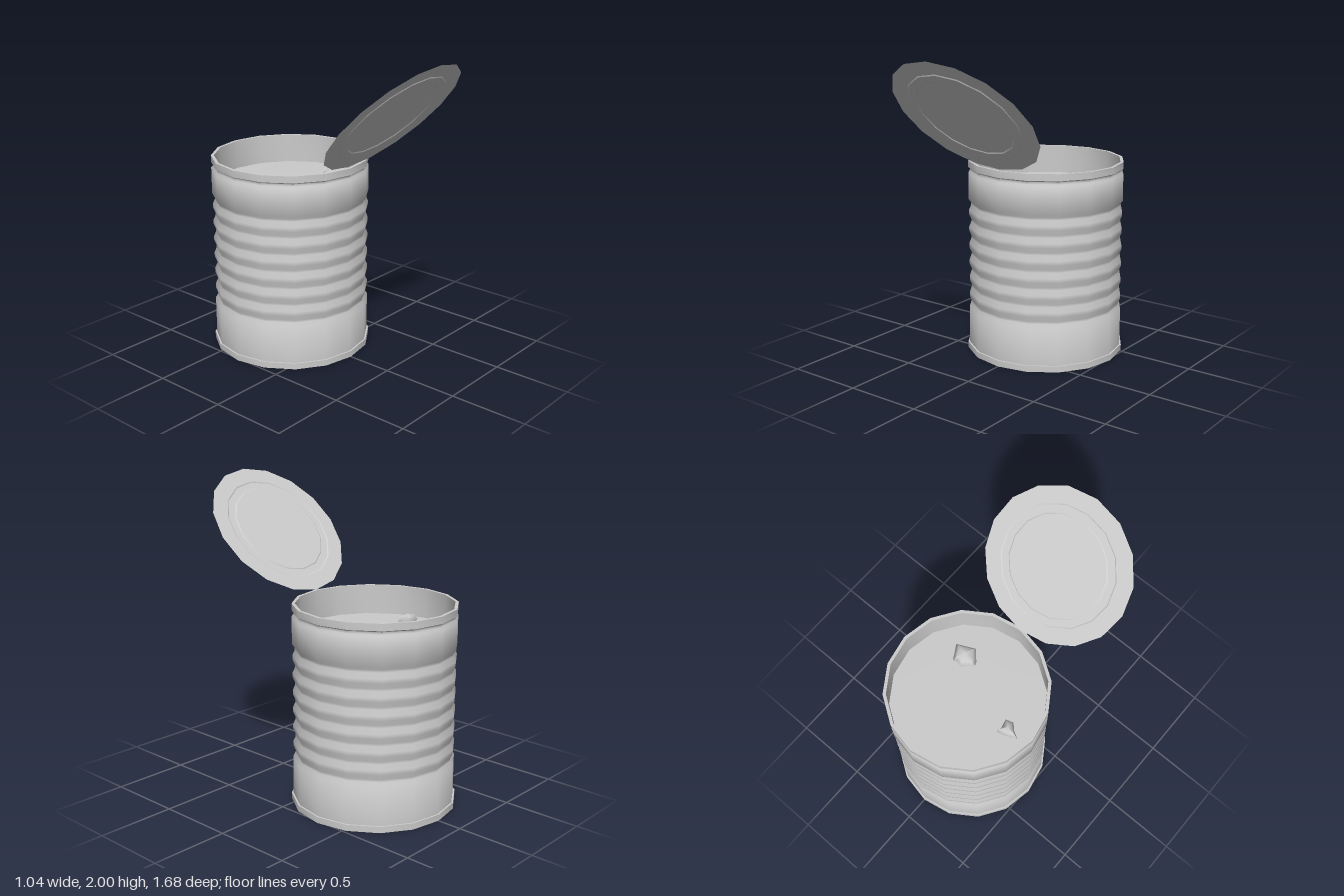
import * as THREE from 'three';
import { toCreasedNormals } from 'three/addons/utils/BufferGeometryUtils.js';

const SIDES = 16;
const CAN_Z = -0.32;

const material = new THREE.MeshStandardMaterial({ color: 0xcccccc, side: THREE.DoubleSide });

function lathe(name, points, crease = 0.75) {
  const profile = points.map(([r, y]) => new THREE.Vector2(r, y));
  const geometry = toCreasedNormals(new THREE.LatheGeometry(profile, SIDES), crease);
  const mesh = new THREE.Mesh(geometry, material);
  mesh.name = name;
  return mesh;
}

// Irregular lump: one outline (x, z) scaled around its centre at several heights
function lump(name, outline, [cx, cz], base, height) {
  const rings = [[0.75, 0], [1, 0.4], [0.7, 0.8], [0, 1]];
  const n = outline.length;
  const position = [];
  const index = [];
  rings.forEach(([scale, h]) => {
    outline.forEach(([x, z]) => {
      position.push(cx + (x - cx) * scale, base + h * height, cz + (z - cz) * scale);
    });
  });
  for (let r = 0; r < rings.length - 1; r++) {
    for (let i = 0; i < n; i++) {
      const j = (i + 1) % n;
      const a = r * n + i, b = r * n + j, c = b + n, d = a + n;
      index.push(a, d, c, a, c, b);
    }
  }
  const geometry = new THREE.BufferGeometry();
  geometry.setAttribute('position', new THREE.Float32BufferAttribute(position, 3));
  geometry.setIndex(index);
  const mesh = new THREE.Mesh(toCreasedNormals(geometry, 1.0), material);
  mesh.name = name;
  return mesh;
}

export function createModel() {
  const model = new THREE.Group();
  model.name = 'openCan';

  const can = new THREE.Group();
  can.name = 'can';
  can.position.z = CAN_Z;
  model.add(can);

  // Base with its wider bottom rim
  can.add(lathe('bottomRim', [[0, 0], [0.521, 0], [0.521, 0.04], [0.505, 0.04]]));

  // Wall: plain bands above and below seven pressed-in grooves
  const wall = [[0.51, 0.04], [0.51, 0.29]];
  for (let i = 0; i < 7; i++) {
    const y = 0.32 + i * 0.1125;
    wall.push([0.493, y - 0.008], [0.493, y + 0.008]);
    if (i < 6) wall.push([0.508, y + 0.042], [0.508, y + 0.07]);
  }
  wall.push([0.51, 1.025], [0.51, 1.2], [0.498, 1.212], [0.498, 1.228], [0.51, 1.238]);
  can.add(lathe('wall', wall, 0.9));

  // Top rim folding over into the inner wall
  can.add(lathe('topRim', [[0.51, 1.236], [0.51, 1.28], [0.49, 1.28], [0.49, 1.06]]));

  // Filling surface
  can.add(lathe('filling', [[0.49, 1.09], [0.25, 1.092], [0, 1.09]]));

  // Chunks poking out of the filling
  model.add(lump('largeChunk',
    [[0.1, -0.14], [0.165, -0.2], [0.205, -0.19], [0.23, -0.2], [0.285, -0.105], [0.17, -0.05], [0.11, -0.115]],
    [0.185, -0.13], 1.07, 0.1));
  model.add(lump('smallChunk',
    [[-0.405, -0.33], [-0.325, -0.365], [-0.275, -0.375], [-0.285, -0.34], [-0.27, -0.28], [-0.32, -0.265], [-0.36, -0.305]],
    [-0.32, -0.32], 1.07, 0.08));

  // Thin opened lid with a shallow pressed ring, tilted forward
  const lid = lathe('lid', [
    [0.488, 0], [0.382, 0], [0.375, -0.004], [0.327, -0.004], [0.32, 0], [0, 0],
  ], 0.4);
  lid.position.set(0, 1.643, 0.503);
  lid.rotation.x = -0.822;
  model.add(lid);

  return model;
}
